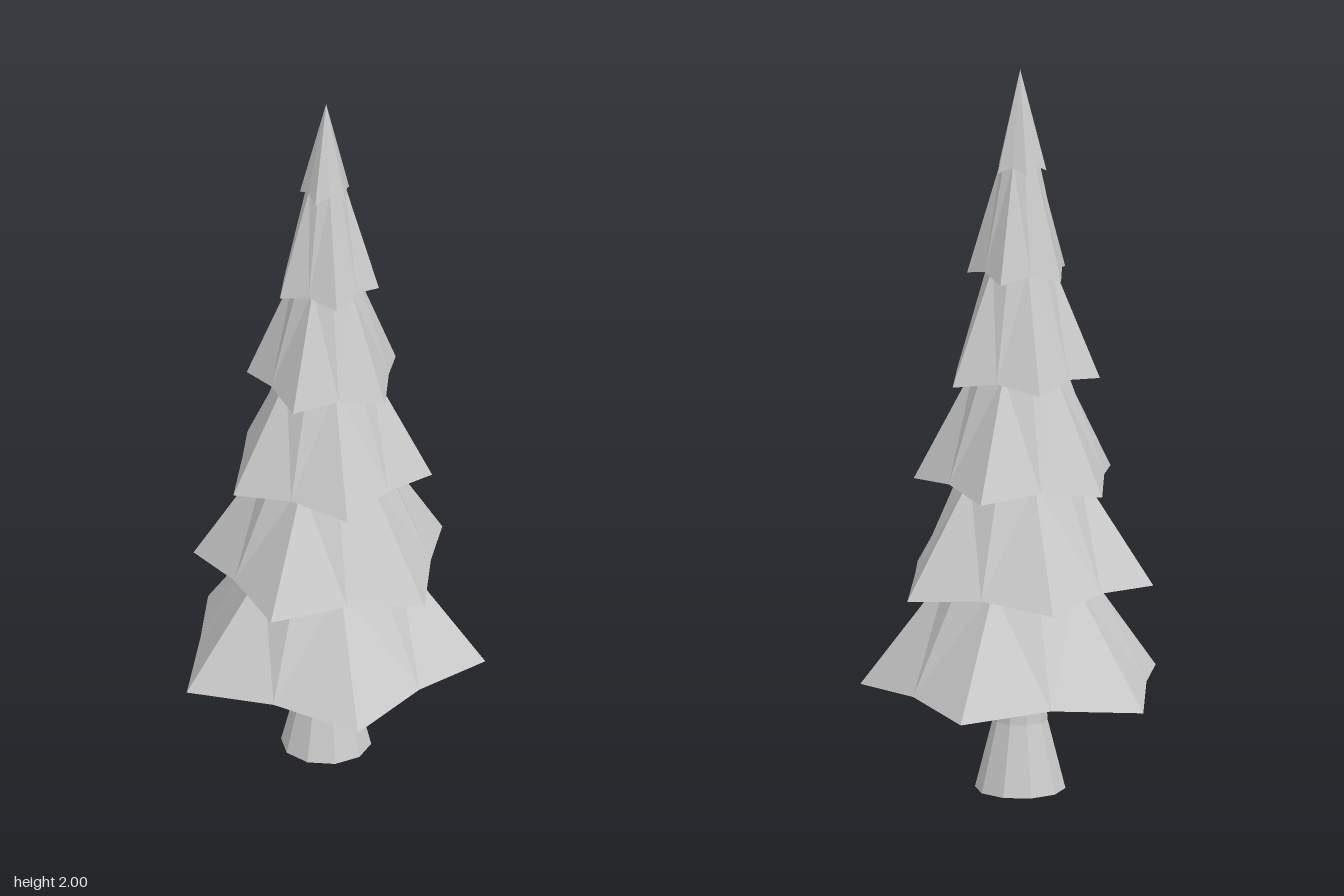
import * as THREE from 'three';

const SIDES = 10;
const TIERS = 6;
const AXIS_Z = 0.036;
const rimRadius = (k) => 0.431 - 0.072 * k;
const rimHeight = (k) => 0.28 + 0.288 * k;

const material = new THREE.MeshStandardMaterial({
  color: 0xcccccc, flatShading: true, side: THREE.DoubleSide,
});

// Skirt of branches: five low pointed corners, raised notches between them,
// narrowing to a ten-sided ring (or to a point when topR is 0).
function skirt(k, topR, topY) {
  const R = rimRadius(k), y = rimHeight(k);
  const turn = k % 2 ? 0 : Math.PI; // tiers alternate pointing front and back
  const positions = [], index = [];
  for (let i = 0; i < SIDES; i++) {
    const a = turn + (i / SIDES) * Math.PI * 2;
    const corner = i % 2 === 0;
    const r = corner ? R : R * 0.79;
    positions.push(Math.sin(a) * r, y + (corner ? 0 : 0.02), Math.cos(a) * r);
    positions.push(Math.sin(a) * topR, topY, Math.cos(a) * topR);
  }
  for (let i = 0; i < SIDES; i++) {
    const b = 2 * i, t = b + 1;
    const b2 = (2 * i + 2) % (2 * SIDES), t2 = b2 + 1;
    // mirror the diagonal so every fold meets at a notch
    if (i % 2 === 0) index.push(b, b2, t);
    else index.push(b, b2, t2);
    if (topR > 0) {
      if (i % 2 === 0) index.push(b2, t2, t);
      else index.push(b, t2, t);
    }
  }
  const geometry = new THREE.BufferGeometry();
  geometry.setAttribute('position', new THREE.Float32BufferAttribute(positions, 3));
  geometry.setIndex(index);
  geometry.computeVertexNormals();
  return geometry;
}

export function createModel() {
  const tree = new THREE.Group();
  tree.name = 'firTree';

  // Trunk: flared foot, then a nearly straight stem
  const profile = [[0, 0], [0.122, 0], [0.074, 0.19], [0.066, 0.32], [0.05, 0.62]]
    .map(([r, y]) => new THREE.Vector2(r, y));
  const trunk = new THREE.Mesh(new THREE.LatheGeometry(profile, SIDES), material);
  trunk.name = 'trunk';
  trunk.position.z = AXIS_Z;
  tree.add(trunk);

  // Branch tiers, each tucked under the next one
  for (let k = 0; k < TIERS; k++) {
    const last = k === TIERS - 1;
    const topR = last ? 0 : 0.5 * rimRadius(k + 1) + 0.015;
    const topY = last ? 2 : rimHeight(k + 1) + 0.03;
    const tier = new THREE.Mesh(skirt(k, topR, topY), material);
    tier.name = last ? 'treeTop' : `branchTier${k + 1}`;
    tier.position.z = AXIS_Z;
    tree.add(tier);
  }
  return tree;
}
